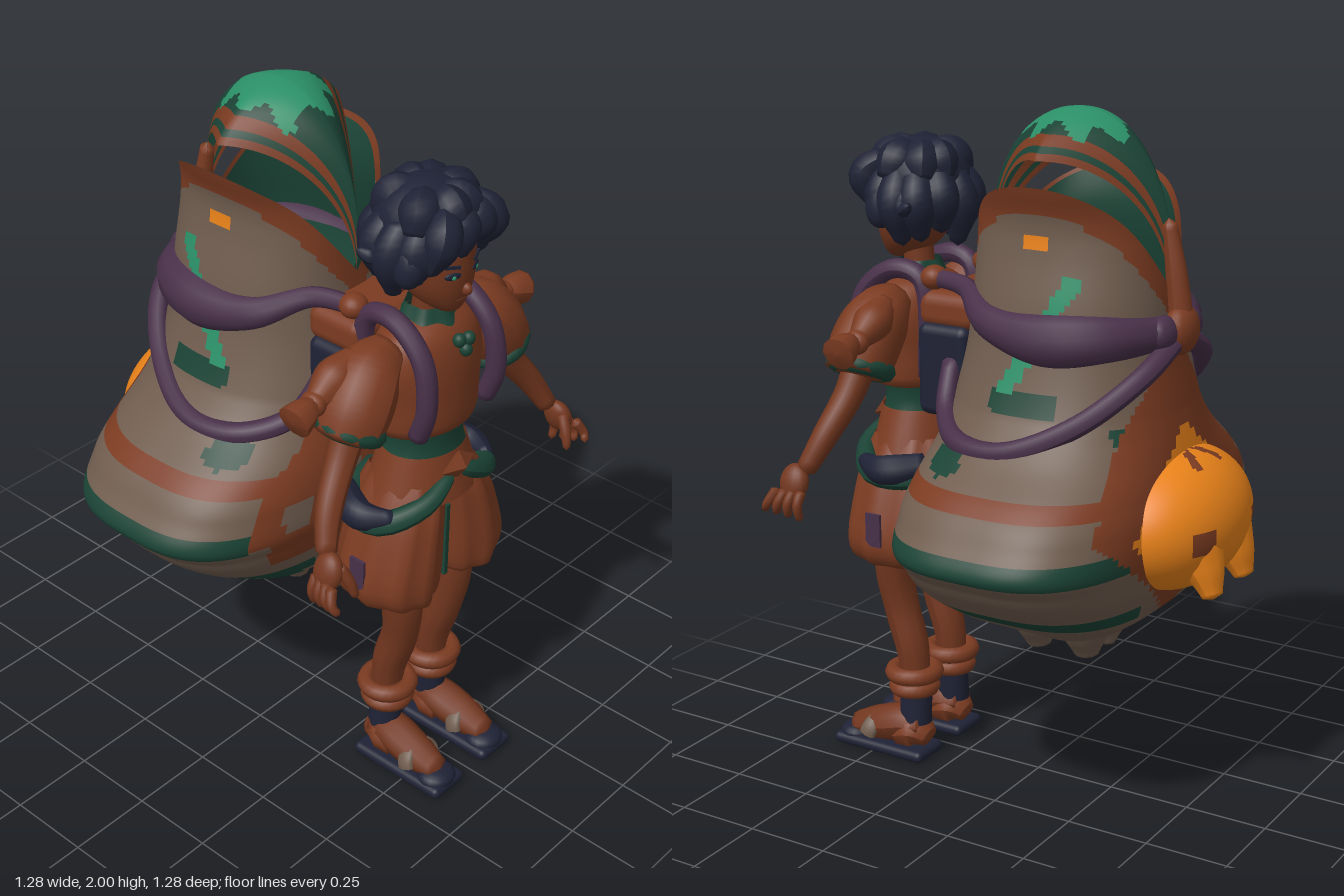
import * as THREE from 'three';
import { RoundedBoxGeometry } from 'three/addons/geometries/RoundedBoxGeometry.js';

const mat = (name, color) => new THREE.MeshStandardMaterial({ name, color, side: THREE.DoubleSide });
const V = (a) => new THREE.Vector3(...a);
const { abs, sin, cos, sign, PI, hypot, min, max } = Math;

export function createModel() {
  const skin = mat('skin', 0x73371f), cloth = mat('brown cloth', 0x7b3b21), taupe = mat('taupe cloth', 0x6f5c4e);
  const green = mat('dark green', 0x1b4335), leaf = mat('bright green', 0x2b9068), navy = mat('navy', 0x1f2235);
  const purple = mat('purple strap', 0x483049), orange = mat('orange', 0xee851a);
  const root = new THREE.Group();
  root.name = 'traveller with bundle';

  const add = (name, geo, m, p = [0, 0, 0], s = [1, 1, 1], r = [0, 0, 0]) => {
    const mesh = new THREE.Mesh(geo, m);
    mesh.name = name;
    mesh.position.set(...p);
    mesh.scale.set(...s);
    mesh.rotation.set(...r);
    root.add(mesh);
  };
  const ball = (name, m, p, s, r) => add(name, new THREE.SphereGeometry(1, 18, 12), m, p, s, r);
  const both = (f) => [1, -1].forEach(f);

  // Surface from a rule; each quad may choose one of several materials
  function surface(name, nu, nv, wrap, pos, mats, rule = () => 0) {
    const cols = wrap ? nu : nu + 1, pts = [], lists = mats.map(() => []);
    for (let j = 0; j <= nv; j++) for (let i = 0; i < cols; i++) pts.push(...pos(i / nu, j / nv));
    for (let j = 0; j < nv; j++) for (let i = 0; i < nu; i++) {
      const u = (i + 0.5) / nu, v = (j + 0.5) / nv, k = (i + 1) % cols;
      const a = j * cols + i, b = j * cols + k, c = a + cols, d = b + cols;
      lists[rule(...pos(u, v), u)].push(a, b, d, a, d, c);
    }
    const g = new THREE.BufferGeometry();
    g.setAttribute('position', new THREE.Float32BufferAttribute(pts, 3));
    g.setIndex(lists.flat());
    let start = 0;
    lists.forEach((l, n) => { g.addGroup(start, l.length, n); start += l.length; });
    g.computeVertexNormals();
    add(name, g, mats);
  }
  // Smooth interpolation between rows of numbers
  function sample(rows, t) {
    const n = rows.length - 1, i = min(n - 1, max(0, Math.floor(t))), f = min(1, max(0, t - i));
    const at = (k) => rows[min(n, max(0, k))];
    return rows[0].map((_, c) => {
      const p = at(i - 1)[c], q = at(i)[c], r = at(i + 1)[c], s = at(i + 2)[c];
      return q + 0.5 * f * (r - p + f * (2 * p - 5 * q + 4 * r - s + f * (3 * (q - r) + s - p)));
    });
  }
  // Stacked ellipses: [y, rx, rz, cx, cz]
  const loft = (name, rows, m, flute = 0, count = 9) => surface(name, 36, (rows.length - 1) * 3, true, (u, v) => {
    const [y, rx, rz, cx, cz] = sample(rows, v * (rows.length - 1));
    const a = u * 2 * PI, k = 1 + flute * cos(count * a);
    return [cx + rx * k * sin(a), y, cz + rz * k * cos(a)];
  }, [m]);
  // Tube of changing radius with closed ends
  function limb(name, pts, radii, m, seg = 18) {
    const curve = new THREE.CatmullRomCurve3(pts.map(V)), g = new THREE.TubeGeometry(curve, seg, 1, 10);
    const p = g.attributes.position, c = new THREE.Vector3(), q = new THREE.Vector3(), rr = radii.map((r) => [r]);
    for (let j = 0; j <= seg; j++) {
      curve.getPointAt(j / seg, c);
      const r = j % seg ? sample(rr, (j / seg) * (radii.length - 1))[0] : 0.001;
      for (let i = j * 11; i < j * 11 + 11; i++) {
        q.fromBufferAttribute(p, i).sub(c).multiplyScalar(r).add(c);
        p.setXYZ(i, q.x, q.y, q.z);
      }
    }
    g.computeVertexNormals();
    add(name, g, m);
  }

  // Bundle: [y, half width, front z, back z]
  const bag = [[0.47, 0.01, -0.1, -0.12], [0.49, 0.12, -0.02, -0.22], [0.55, 0.24, 0.09, -0.33], [0.62, 0.38, 0.17, -0.42],
    [0.72, 0.53, 0.21, -0.475], [0.8, 0.6, 0.23, -0.495], [0.85, 0.64, 0.24, -0.5], [0.92, 0.6, 0.24, -0.5], [1, 0.54, 0.235, -0.49],
    [1.1, 0.42, 0.22, -0.475], [1.2, 0.34, 0.2, -0.455], [1.35, 0.29, 0.17, -0.43], [1.5, 0.265, 0.155, -0.42],
    [1.65, 0.235, 0.15, -0.41], [1.73, 0.235, 0.15, -0.41], [1.82, 0.265, 0.15, -0.41]];
  const rim = (u) => 1.52 + 0.295 * abs(sin(u * 2 * PI)) ** 0.85;
  const bagPoint = (u, v, k = 1) => {
    const a = u * 2 * PI, y = v < 0.8 ? 0.47 + 1.1625 * v : 1.4 + (v - 0.8) * 5 * (rim(u) - 1.4);
    let i = 0;
    while (i < bag.length - 2 && y > bag[i + 1][0]) i++;
    const [, hx, zf, zb] = sample(bag, i + (y - bag[i][0]) / (bag[i + 1][0] - bag[i][0]));
    const e = 0.68 + 0.18 * min(1, max(0, (y - 0.95) / 0.2));
    const x = hx * sign(sin(a)) * abs(sin(a)) ** e, z = (zf - zb) / 2 * sign(cos(a)) * abs(cos(a)) ** e;
    return [x * k, y, (zf + zb) / 2 + z * k];
  };
  const diamond = (x, y, mid, w, up, down) => x / w + (y > mid ? (y - mid) / up : (mid - y) / down) < 1;
  surface('bundle', 128, 110, true, bagPoint, [taupe, cloth, green, leaf, orange], (x, y, z, u) => {
    const ax = abs(x), s = abs(sin(u * 2 * PI));
    if (rim(u) - y < 0.08) return 1;
    // rear opening and its frame
    if (z < -0.3 && diamond(ax, y, 0.9, 0.32, 0.27, 0.24)) return 4;
    if (z < -0.3 && diamond(ax, y, 0.93, 0.46, 0.5, 0.34)) return 1;
    // patched front panel
    if (z > 0.18 && y > 0.74 && y < 1.12) {
      if (abs(ax - 0.31) < 0.05 && abs(y - 0.905) < 0.04) return 0;
      if (abs(ax - 0.13) < 0.045 && abs(y - 0.99) < 0.04) return 0;
      return ax > 0.4 && y < 0.84 ? 0 : 1;
    }
    if (z > 0.1 && abs(ax - 0.28) < 0.06 && abs(y - 0.655) < 0.04) return 2;
    if (abs(y - 0.86) < 0.033 && s > 0.3) return 2;
    if (abs(y - 0.665) < 0.025 && s > 0.3) return 2;
    if (abs(y - 1.01) < 0.018) return 1;
    if (hypot((z - 0.05) * 0.6, y - 1.08) < 0.035 && ax > 0.2) return 2;
    if (z < -0.36 && abs(ax - 0.23) < 0.035 && abs(y - 1.14) < 0.05) return 2;
    if (ax > 0.15 && y > 1.26 && y < 1.58 && abs(z + 0.09 + (y - 1.3) * 0.58) < 0.028) return 3;
    if (ax > 0.15 && abs(y - 1.245) < 0.03 && abs(z + 0.14) < 0.1) return 2;
    return ax > 0.12 && abs(y - 1.665) < 0.012 && abs(z + 0.13) < 0.035 ? 4 : 0;
  });
  surface('bundle lining', 64, 8, true, (u, v) => bagPoint(1 - u, 0.8 + 0.195 * v, 0.95), [green]);
  ball('bundle filling', green, [0, 1.45, -0.13], [0.25, 0.03, 0.265]);
  both((s) => [-0.03, -0.19].forEach((z) =>
    limb('bundle foot', [[s * 0.06, 0.58, z], [s * 0.055, 0.5, z], [s * 0.045, 0.43, z]], [0.12, 0.075, 0.035], taupe)));

  // Arched diamond canopy
  surface('canopy', 56, 60, false, (u, v) => {
    const a = (0.5 - v) * 3.0, w = 0.235 * (1 - abs(sin(a)) * 0.99), s = u * 2 - 1;
    return [s * w, 1.62 + 0.38 * cos(a) - 0.02 * abs(s) - 0.1 * abs(s) ** 2.5, -0.13 + 0.285 * sin(a)];
  }, [green, cloth, leaf], (x, y, z, u) => {
    const s = abs(u * 2 - 1), a = Math.atan2(x, z + 0.13);
    if (hypot(x, (z + 0.13) * 0.9) < 0.13 + 0.02 * sin(a * 7)) return 2;
    return s > 0.93 || (s > 0.72 && s < 0.84) ? 1 : 0;
  });
  limb('canopy tail', [[0, 1.72, -0.405], [0, 1.58, -0.43], [0, 1.43, -0.45]], [0.02, 0.03, 0.035], cloth);

  // Creature peeking from the rear opening
  surface('creature', 80, 56, true, (u, v) => {
    const a = u * 2 * PI, b = (v - 0.5) * PI;
    return [0.29 * cos(b) * sin(a), 0.89 + 0.2 * sin(b), -0.445 + 0.195 * cos(b) * cos(a)];
  }, [orange, cloth], (x, y, z) => {
    const ax = abs(x);
    if (abs(ax - 0.15) < 0.035 && abs(y - 0.88) < 0.03 && z < -0.5) return 1;
    return y > 1 && z > -0.55 && z < -0.48 && abs(ax - 0.025 + (z + 0.48) * 0.6) < 0.017 ? 1 : 0;
  });
  both((s) => limb('creature nub', [[s * 0.09, 0.86, -0.54], [s * 0.095, 0.78, -0.585], [s * 0.1, 0.705, -0.615]], [0.09, 0.06, 0.028], orange));

  // Straps around bundle and shoulders
  both((s) => {
    limb('bundle loop', [[s * 0.15, 1.3, 0.19], [s * 0.25, 1.17, 0.15], [s * 0.36, 1.12, 0.04], [s * 0.385, 1.12, -0.12],
      [s * 0.31, 1.2, -0.3], [s * 0.18, 1.32, -0.425], [0, 1.41, -0.45]], [0.028, 0.03, 0.03, 0.03, 0.03], purple, 44);
    limb('bundle band', [[s * 0.13, 1.51, 0.3], [s * 0.16, 1.5, 0.14], [s * 0.25, 1.44, 0.01], [s * 0.26, 1.41, -0.16],
      [s * 0.2, 1.42, -0.33], [0, 1.42, -0.45]], [0.025, 0.03, 0.05, 0.075, 0.06, 0.04], purple, 44);
    limb('shoulder strap', [[s * 0.13, 1.2, 0.29], [s * 0.13, 1.5, 0.31], [s * 0.135, 1.52, 0.4], [s * 0.14, 1.44, 0.5],
      [s * 0.145, 1.3, 0.525], [s * 0.14, 1.19, 0.49]], [0.029, 0.029, 0.029], purple, 44);
    ball('strap keeper', cloth, [s * 0.135, 1.51, 0.26], [0.04, 0.035, 0.04]);
  });
  ball('rear knot', cloth, [0, 1.42, -0.45], [0.07, 0.07, 0.045]);
  both((s) => ball('knot bow', purple, [s * 0.07, 1.42, -0.43], [0.06, 0.05, 0.04]));

  // Small pack between body and bundle
  add('pack', new RoundedBoxGeometry(0.36, 0.27, 0.17, 3, 0.03), navy, [0, 1.25, 0.215]);
  add('pack flap', new RoundedBoxGeometry(0.33, 0.11, 0.2, 3, 0.04), cloth, [0, 1.42, 0.21]);

  // Body and clothes
  const z0 = 0.4;
  loft('neck', [[1.44, 0.055, 0.055, 0, 0.39], [1.5, 0.045, 0.045, 0, 0.4], [1.6, 0.045, 0.045, 0, 0.41]], skin);
  loft('shirt', [[1.18, 0.1, 0.07, 0, z0], [1.18, 0.165, 0.12, 0, z0], [1.28, 0.175, 0.125, 0, z0], [1.38, 0.185, 0.12, 0, z0],
    [1.46, 0.15, 0.1, 0, z0], [1.5, 0.06, 0.06, 0, z0]], cloth);
  loft('collar', [[1.45, 0.11, 0.1, 0, z0], [1.49, 0.08, 0.075, 0, z0], [1.53, 0.06, 0.06, 0, z0]], green, 0.05, 6);
  loft('waist', [[1.06, 0.14, 0.11, 0, z0], [1.13, 0.12, 0.1, 0, z0], [1.22, 0.14, 0.11, 0, z0]], green);
  loft('belt', [[0.96, 0.18, 0.14, 0, z0], [1.03, 0.155, 0.125, 0, z0], [1.1, 0.13, 0.11, 0, z0]], cloth);
  add('buckle', new THREE.OctahedronGeometry(1), cloth, [0, 1.06, 0.525], [0.07, 0.045, 0.03]);
  [[0.02, 1.45], [-0.02, 1.46], [0.01, 1.42]].forEach(([x, y]) => ball('bead', green, [x, y, 0.525], [0.018, 0.02, 0.018]));
  add('front slit', new THREE.BoxGeometry(0.014, 0.24, 0.2), green, [0, 0.79, 0.4]);

  both((s) => {
    limb('sash', [[0, 1.04, 0.51], [s * 0.12, 0.98, 0.515], [s * 0.22, 0.93, 0.43], [s * 0.2, 0.93, 0.3], [0, 0.96, 0.25]], [0.02, 0.03, 0.035, 0.035, 0.03], green);
    limb('sash tie', [[s * 0.2, 0.96, 0.48], [s * 0.24, 0.95, 0.38], [s * 0.18, 0.97, 0.26]], [0.02, 0.045, 0.035], navy);
    loft('short leg', [[0.68, 0.06, 0.07, s * 0.12, z0], [0.65, 0.105, 0.135, s * 0.13, z0], [0.72, 0.132, 0.15, s * 0.137, z0],
      [0.85, 0.115, 0.145, s * 0.117, z0], [0.94, 0.1, 0.135, s * 0.095, z0], [1.02, 0.08, 0.11, s * 0.07, z0]], cloth, 0.05);
    add('shorts patch', new THREE.BoxGeometry(0.009, 0.1, 0.05), purple, [s * 0.266, 0.77, z0]);

    // Arms
    limb('sleeve', [[s * 0.13, 1.44, 0.39], [s * 0.22, 1.4, 0.39], [s * 0.28, 1.33, 0.4], [s * 0.33, 1.24, 0.4]], [0.05, 0.09, 0.1, 0.09], cloth);
    add('sleeve hem', new THREE.TorusGeometry(0.073, 0.028, 8, 24), green, [s * 0.305, 1.27, 0.4], [1, 1, 1], [PI / 2, s * 0.45, 0]);
    limb('arm', [[s * 0.28, 1.32, 0.4], [s * 0.35, 1.2, 0.41], [s * 0.43, 1.09, 0.44], [s * 0.485, 0.985, 0.48]], [0.05, 0.043, 0.037, 0.028], skin);
    ball('palm', skin, [s * 0.497, 0.965, 0.5], [0.03, 0.055, 0.045], [0, 0, s * 0.3]);
    for (let i = 0; i < 4; i++) {
      const z = 0.47 + i * 0.022, x = 0.505 + 0.007 * i;
      limb('finger', [[s * x, 0.95, z], [s * (x + 0.022), 0.905, z + 0.008 * i], [s * (x + 0.01), 0.86 + 0.008 * i, z + 0.013 * i]], [0.016, 0.014, 0.011], skin, 10);
    }
    limb('thumb', [[s * 0.485, 0.99, 0.52], [s * 0.47, 0.94, 0.55], [s * 0.46, 0.89, 0.565]], [0.017, 0.016, 0.011], skin, 10);
    // Sleeve ribbon
    limb('ribbon', [[s * 0.23, 1.45, 0.36], [s * 0.32, 1.4, 0.35], [s * 0.39, 1.365, 0.35]], [0.03, 0.055, 0.03], cloth);
    ball('ribbon knot', cloth, [s * 0.39, 1.365, 0.35], [0.028, 0.035, 0.038]);
    limb('tassel', [[s * 0.38, 1.37, 0.35], [s * 0.43, 1.36, 0.355], [s * 0.475, 1.345, 0.355]], [0.02, 0.04, 0.05], cloth);

    // Legs and sandals
    limb('leg', [[s * 0.115, 0.75, 0.41], [s * 0.11, 0.6, 0.435], [s * 0.1, 0.47, 0.42], [s * 0.1, 0.35, 0.385], [s * 0.1, 0.24, 0.375], [s * 0.105, 0.12, 0.375]],
      [0.07, 0.064, 0.055, 0.053, 0.045, 0.04], skin);
    loft('ankle wrap', [[0.11, 0.046, 0.05, s * 0.105, 0.375], [0.2, 0.045, 0.05, s * 0.1, 0.375], [0.24, 0.046, 0.05, s * 0.1, 0.375]], navy);
    [[0.225, 0.055, 0.024], [0.272, 0.064, 0.026]].forEach(([y, r, t]) =>
      add('anklet', new THREE.TorusGeometry(r, t, 8, 24), cloth, [s * 0.1, y, 0.38], [1, 1, 1], [PI / 2, 0, 0]));
    add('sole', new RoundedBoxGeometry(0.135, 0.036, 0.325, 4, 0.018), navy, [s * 0.11, 0.018, 0.477]);
    ball('toe guard', navy, [s * 0.112, 0.035, 0.585], [0.06, 0.028, 0.055]);
    limb('foot', [[s * 0.105, 0.1, 0.33], [s * 0.105, 0.1, 0.4], [s * 0.11, 0.08, 0.48], [s * 0.112, 0.05, 0.6]], [0.045, 0.058, 0.054, 0.036], skin);
    limb('sandal heel', [[s * 0.105, 0.06, 0.32], [s * 0.105, 0.08, 0.37], [s * 0.105, 0.06, 0.44]], [0.03, 0.06, 0.05], cloth);
    add('sandal strap', new THREE.TorusGeometry(0.055, 0.014, 8, 20, PI), taupe, [s * 0.11, 0.055, 0.515], [1.05, 0.95, 2], [-0.35, 0, 0]);
  });

  // Head and face
  loft('head', [[1.525, 0.005, 0.005, 0, 0.47], [1.535, 0.035, 0.035, 0, 0.465], [1.57, 0.075, 0.08, 0, 0.435], [1.62, 0.1, 0.105, 0, 0.42],
    [1.69, 0.108, 0.115, 0, 0.41], [1.78, 0.1, 0.11, 0, 0.4], [1.83, 0.02, 0.02, 0, 0.4]], skin);
  ball('nose', skin, [0, 1.605, 0.522], [0.014, 0.018, 0.02]);
  ball('mouth', cloth, [0, 1.575, 0.51], [0.026, 0.007, 0.007]);
  both((s) => {
    ball('eye', navy, [s * 0.045, 1.655, 0.514], [0.024, 0.011, 0.006], [0, s * 0.4, 0]);
    ball('iris', leaf, [s * 0.045, 1.652, 0.518], [0.007, 0.007, 0.005], [0, s * 0.4, 0]);
    add('eyebrow', new THREE.BoxGeometry(0.045, 0.008, 0.008), navy, [s * 0.048, 1.682, 0.514], [1, 1, 1], [0, s * 0.4, s * 0.15]);
    ball('ear', skin, [s * 0.112, 1.635, 0.4], [0.02, 0.035, 0.025]);
    ball('side curl', navy, [s * 0.125, 1.7, 0.44], [0.045, 0.07, 0.05], [0, 0, s * 0.3]);
    limb('hair tip', [[s * 0.12, 1.74, 0.37], [s * 0.16, 1.7, 0.34], [s * 0.185, 1.715, 0.31]], [0.04, 0.03, 0.01], navy, 12);
  });

  // Tousled hair: a cap with overlapping swept clumps
  ball('hair cap', navy, [0, 1.765, 0.385], [0.145, 0.118, 0.142]);
  for (let i = 0; i < 7; i++) {
    const a = i * 2.4 + 0.4, x = sin(a), z = cos(a);
    limb('hair clump', [[0.02 * x, 1.835, 0.39 + 0.02 * z], [0.085 * x, 1.825, 0.39 + 0.08 * z], [0.13 * x, 1.76, 0.39 + 0.115 * z]], [0.035, 0.058, 0.035], navy, 14);
  }
  for (let i = 0; i < 9; i++) {
    const a = 0.95 + (i / 8) * (2 * PI - 1.9), x = sin(a), z = cos(a), low = 1.6 + 0.025 * cos(i * 2.3);
    limb('hair lock', [[0.09 * x, 1.8, 0.39 + 0.09 * z], [0.13 * x, 1.72, 0.38 + 0.115 * z], [0.115 * x, low, 0.37 + 0.1 * z]], [0.04, 0.057, 0.02], navy, 14);
  }
  [[-0.085, 1.67], [-0.01, 1.7], [0.06, 1.71], [0.1, 1.68]].forEach(([x, y]) =>
    limb('fringe', [[x * 0.5 + 0.02, 1.83, 0.45], [x, 1.775, 0.512], [x * 1.15 - 0.01, y, 0.522 - abs(x) * 0.4]], [0.03, 0.05, 0.014], navy, 14));
  return root;
}
